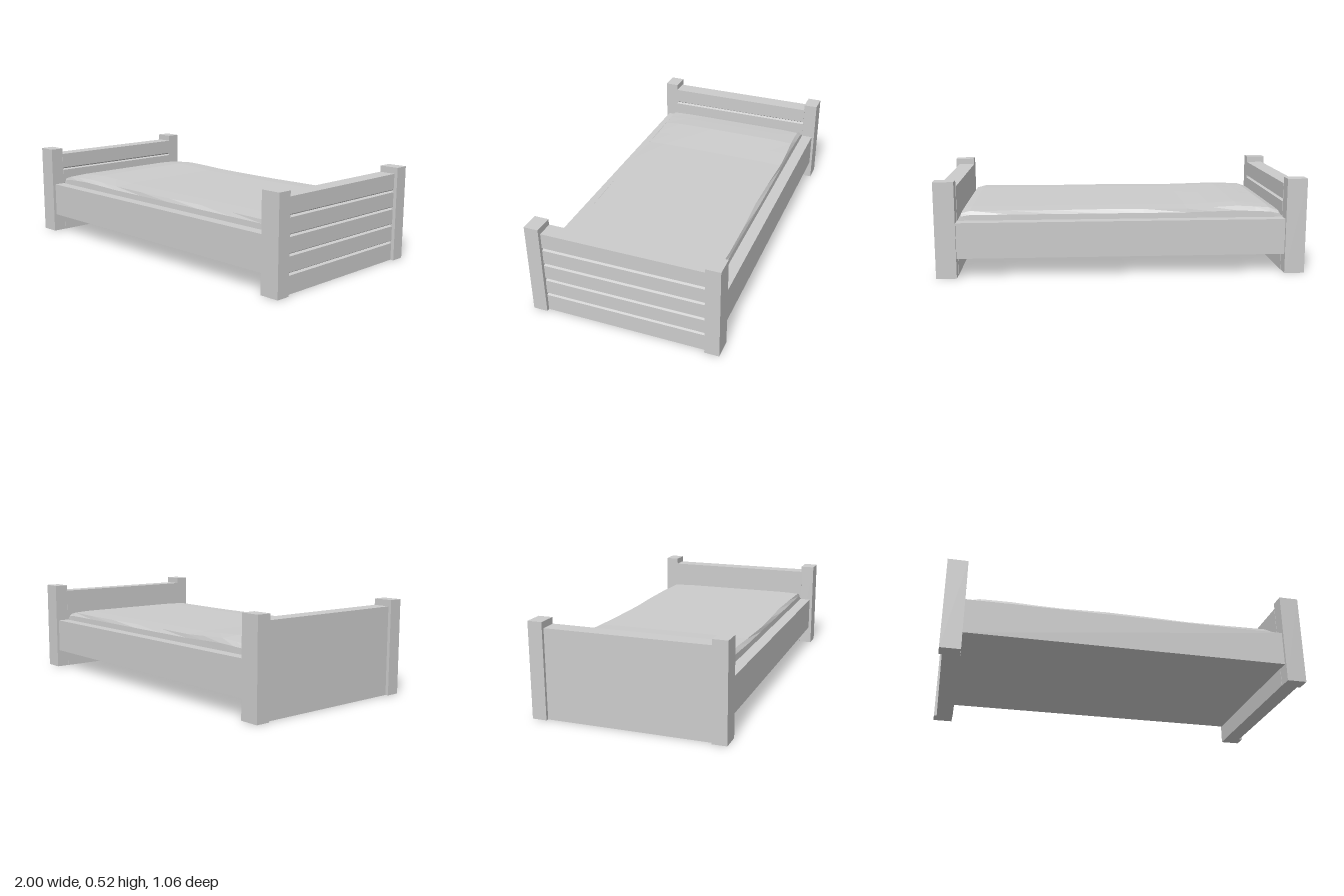
import * as THREE from 'three';

const grey = new THREE.MeshStandardMaterial({ color: 0xcccccc, flatShading: true });

function box(name, x0, x1, y0, y1, z0, z1) {
  const mesh = new THREE.Mesh(new THREE.BoxGeometry(x1 - x0, y1 - y0, z1 - z0), grey);
  mesh.position.set((x0 + x1) / 2, (y0 + y1) / 2, (z0 + z1) / 2);
  mesh.name = name;
  return mesh;
}

// End board: side profile with V grooves on its +x face, extruded along z
function endPanel(name, x0, x1) {
  const shape = new THREE.Shape();
  shape.moveTo(x0, 0);
  shape.lineTo(x1, 0);
  for (let i = 0; i < 4; i++) {
    const y = 0.096 + i * 0.0965;
    shape.lineTo(x1, y);
    shape.lineTo(x1 - 0.015, y + 0.007);
    shape.lineTo(x1, y + 0.016);
  }
  shape.lineTo(x1, 0.488);
  shape.lineTo(x0, 0.488);
  const geo = new THREE.ExtrudeGeometry(shape, { depth: 0.9, bevelEnabled: false });
  const mesh = new THREE.Mesh(geo.translate(0, 0, -0.45), grey);
  mesh.name = name;
  return mesh;
}

// Mattress: cross-sections along x, with a soft rise at the head and uneven long edges
function mattress() {
  const stations = [
    [-0.888, 0.3], [-0.87, 0.335], [-0.82, 0.354], [-0.74, 0.361], [-0.64, 0.368],
    [-0.5, 0.362], [-0.36, 0.355], [-0.12, 0.355], [0.12, 0.355], [0.36, 0.355],
    [0.6, 0.355], [0.82, 0.355], [0.868, 0.341], [0.888, 0.3],
  ];
  const across = 8, positions = [], index = [];
  stations.forEach(([x, top], i) => {
    const rise = top - 0.3;
    const section = [[-0.448, 0.3], [-0.446, 0.3 + rise * 0.55]];
    for (let j = 0; j <= across; j++) {
      const t = (j / across) * 2 - 1;
      const wave = 0.007 * Math.sin(x * 7 + t * 2);
      const hump = x < -0.3 ? 0.4 * t * t * t * Math.max(0, top - 0.352) : 0;
      const edge = Math.abs(t) === 1 ? rise * 0.08 : 0;
      section.push([t * (0.435 + wave), top - Math.max(0, hump) - edge]);
    }
    section.push([0.446, 0.3 + rise * 0.55], [0.448, 0.3]);
    const n = section.length;
    section.forEach(([z, y], j) => {
      positions.push(x, y, z);
      if (i && j) {
        const d = i * n + j, c = d - 1, b = d - n, a = b - 1;
        index.push(a, b, d, a, d, c);
      }
    });
  });
  const geo = new THREE.BufferGeometry();
  geo.setAttribute('position', new THREE.Float32BufferAttribute(positions, 3));
  geo.setIndex(index);
  geo.computeVertexNormals();
  const mesh = new THREE.Mesh(geo, grey);
  mesh.name = 'mattress';
  return mesh;
}

export function createModel() {
  const bed = new THREE.Group();
  bed.name = 'bed';

  // Corner posts
  for (const sx of [-1, 1]) {
    for (const sz of [-1, 1]) {
      const post = box('cornerPost', -0.055, 0.055, 0, 0.523, -0.04, 0.04);
      post.position.x = sx * 0.945;
      post.position.z = sz * 0.488;
      bed.add(post);
    }
  }

  // Head and foot boards, both grooved towards +x
  bed.add(endPanel('headboard', -0.983, -0.888), endPanel('footboard', 0.888, 0.981));

  // Side rails and the closed base between them
  bed.add(box('sideRailFront', -0.89, 0.89, 0.105, 0.3, 0.448, 0.511));
  bed.add(box('sideRailBack', -0.89, 0.89, 0.105, 0.3, -0.513, -0.448));
  bed.add(box('base', -0.888, 0.888, 0.105, 0.298, -0.448, 0.448));

  bed.add(mattress());
  return bed;
}
